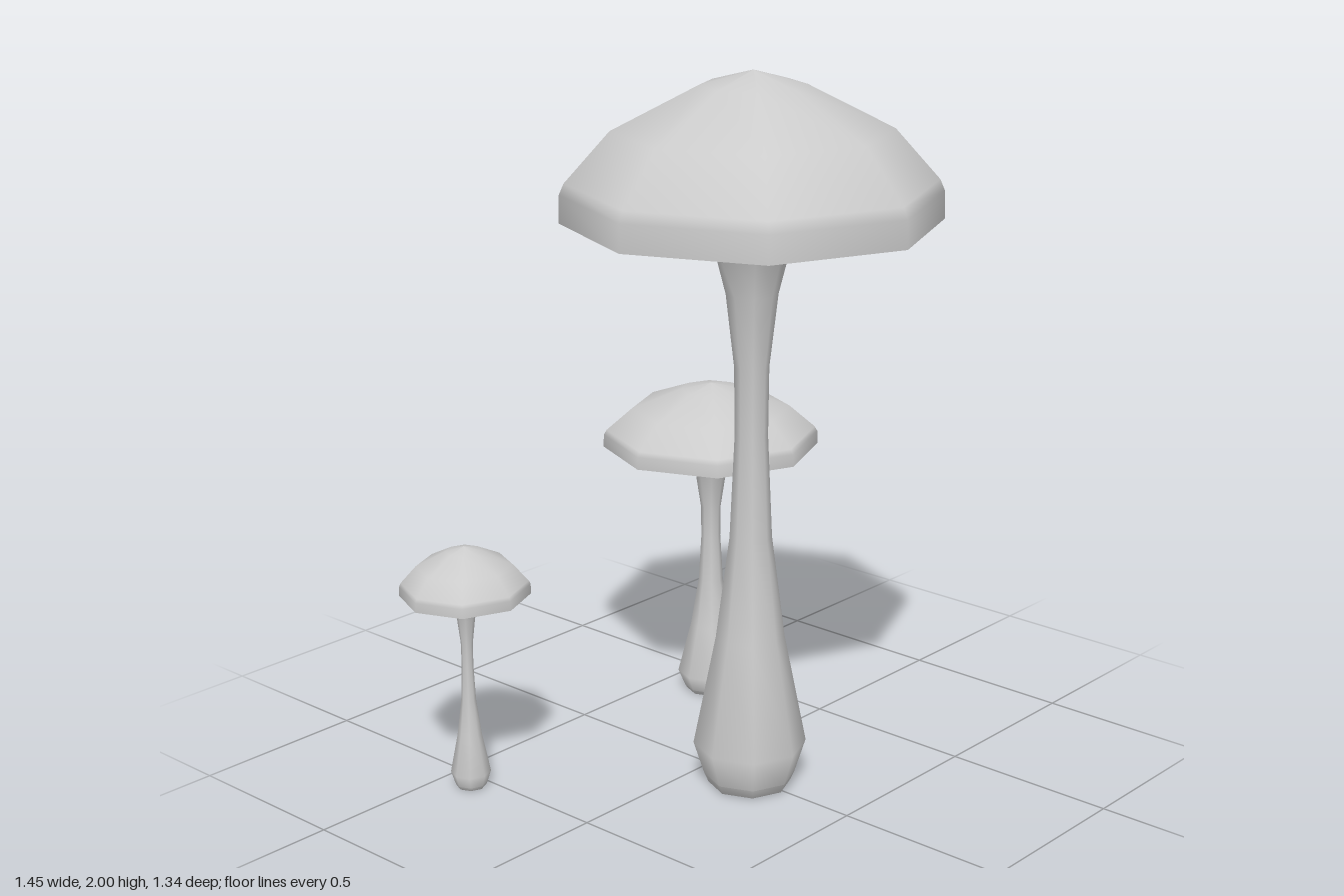
import * as THREE from 'three';

const material = new THREE.MeshStandardMaterial({ color: 0xcccccc });
const openMaterial = new THREE.MeshStandardMaterial({ color: 0xcccccc, side: THREE.DoubleSide });

// Eight-sided turned part from [radius, height] pairs
function turned(name, profile, mat = material) {
  const points = profile.map(([r, y]) => new THREE.Vector2(r, y));
  const mesh = new THREE.Mesh(new THREE.LatheGeometry(points, 8), mat);
  mesh.name = name;
  return mesh;
}

function mushroom(name, x, z, width, height) {
  const group = new THREE.Group();
  group.name = name;
  group.add(
    // domed cap with a short upright rim
    turned('capTop', [[0.505, 1.605], [0.503, 1.68], [0.49, 1.71], [0.37, 1.845], [0.14, 1.962], [0, 2]]),
    // slightly hollow underside with a narrow lip
    turned('capUnderside', [[0.18, 1.66], [0.45, 1.64], [0.48, 1.607], [0.505, 1.605]]),
    // waisted stem, flaring into the cap
    turned('stem', [[0.127, 0.03], [0.157, 0.125], [0.095, 0.44], [0.058, 0.73], [0.045, 1.02],
      [0.047, 1.21], [0.07, 1.41], [0.118, 1.6], [0.19, 1.66]], openMaterial),
    // open bevelled foot
    turned('stemFoot', [[0.105, 0], [0.115, 0.003], [0.127, 0.03]], openMaterial)
  );
  group.scale.set(width, height, width);
  group.position.set(x, 0, z);
  return group;
}

export function createModel() {
  const model = new THREE.Group();
  model.name = 'mushrooms';
  model.add(
    mushroom('largeMushroom', -0.015, 0.163, 1, 1),
    mushroom('mediumMushroom', 0.405, -0.354, 0.632, 0.488),
    mushroom('smallMushroom', -0.55, -0.403, 0.355, 0.356)
  );
  return model;
}
